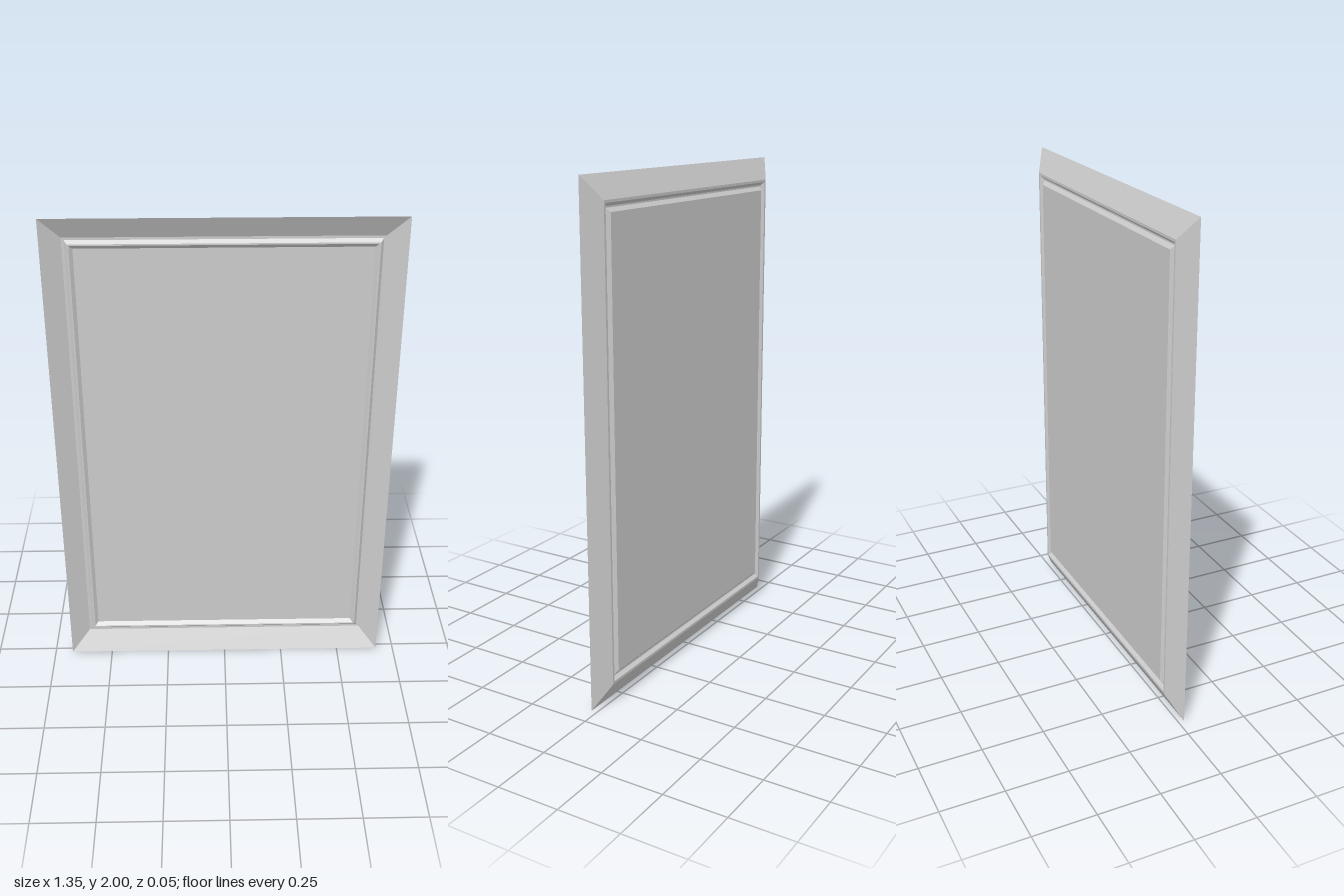
import * as THREE from 'three';

const material = new THREE.MeshStandardMaterial({
  color: 0xcccccc, flatShading: true, side: THREE.DoubleSide,
});

// Mitred rectangular band through rings of [half width, half height, z], outermost first
function mitredBand(name, rings) {
  const signs = [[-1, -1], [1, -1], [1, 1], [-1, 1]];
  const points = [];
  const corner = ([w, h, z], k) => [signs[k % 4][0] * w, 1 + signs[k % 4][1] * h, z];
  for (let i = 0; i < rings.length - 1; i++) {
    for (let k = 0; k < 4; k++) {
      const a = corner(rings[i], k), b = corner(rings[i], k + 1);
      const c = corner(rings[i + 1], k + 1), d = corner(rings[i + 1], k);
      points.push(...a, ...b, ...c, ...a, ...c, ...d);
    }
  }
  const geometry = new THREE.BufferGeometry();
  geometry.setAttribute('position', new THREE.Float32BufferAttribute(points, 3));
  geometry.computeVertexNormals();
  const mesh = new THREE.Mesh(geometry, material);
  mesh.name = name;
  return mesh;
}

export function createModel() {
  const group = new THREE.Group();
  group.name = 'framedPanel';

  const back = -0.024;
  const slopeFoot = [0.598, 0.912, back];
  const beadOuter = [0.588, 0.902, back];
  const beadInner = [0.558, 0.869, back];

  // Bevelled frame sloping back from the outer rim, with a narrow flat at its foot
  group.add(mitredBand('bevelledFrame', [[0.675, 1, 0.024], slopeFoot, beadOuter]));

  // Raised bead running round the panel
  group.add(mitredBand('bead', [
    beadOuter, [0.577, 0.89, -0.011], [0.571, 0.884, -0.011], beadInner,
  ]));

  // Flat centre panel
  const panel = new THREE.Mesh(new THREE.PlaneGeometry(2 * beadInner[0], 2 * beadInner[1]), material);
  panel.position.set(0, 1, back);
  panel.name = 'panel';
  group.add(panel);

  return group;
}
